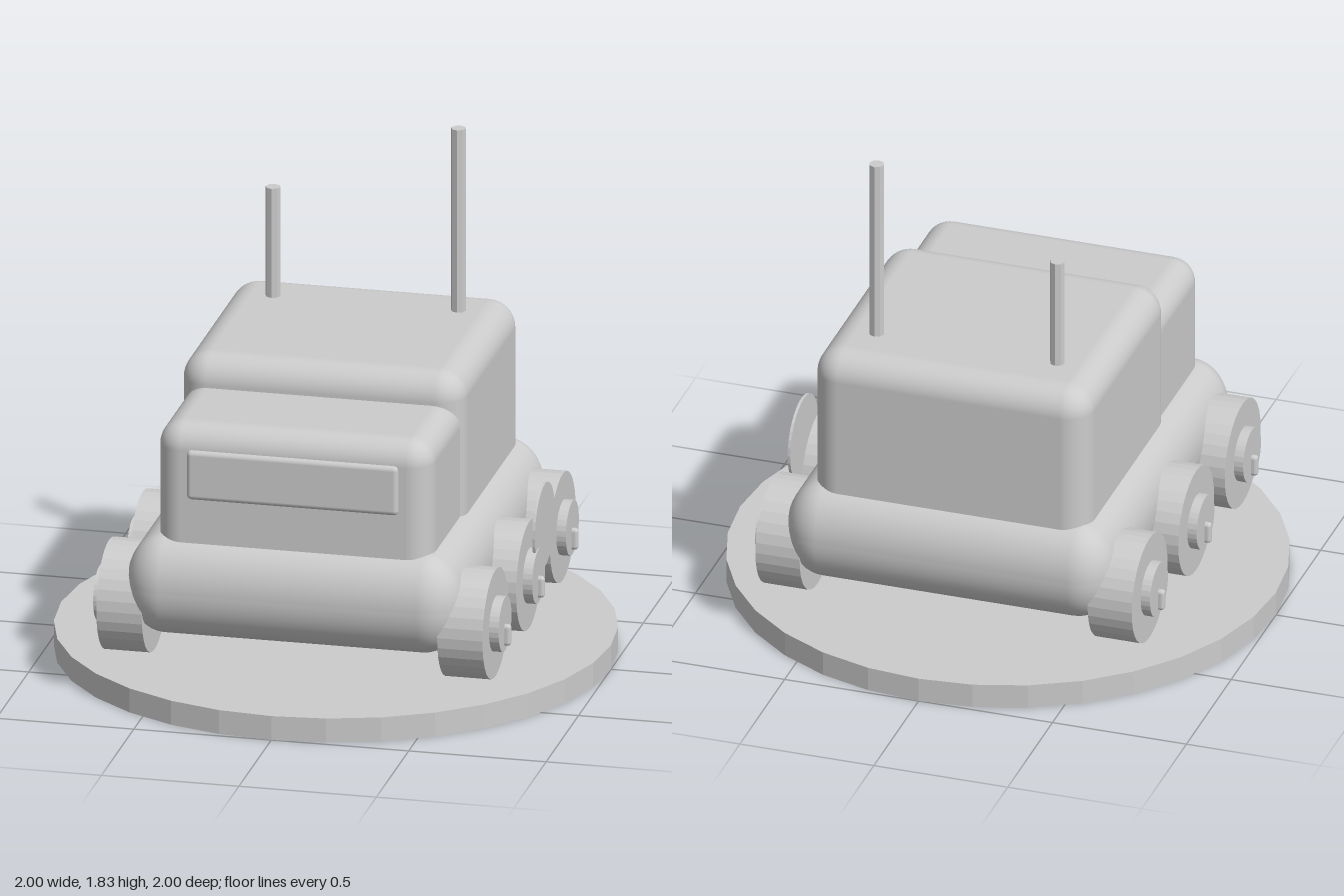
import * as THREE from 'three';
import { RoundedBoxGeometry } from 'three/addons/geometries/RoundedBoxGeometry.js';

export function createModel() {
  const model = new THREE.Group();
  model.name = 'rover';
  const grey = new THREE.MeshStandardMaterial({ color: 0xcccccc });
  grey.name = 'light grey';

  const add = (name, geometry, x, y, z, parent = model) => {
    const mesh = new THREE.Mesh(geometry, grey);
    mesh.name = name;
    mesh.position.set(x, y, z);
    parent.add(mesh);
    return mesh;
  };

  // Faceted cylinder, upright or lying along x
  const drum = (radius, length, sides, alongX = false) => {
    const g = new THREE.CylinderGeometry(radius, radius, length, sides).toNonIndexed();
    if (alongX) g.rotateZ(-Math.PI / 2);
    g.computeVertexNormals();
    return g;
  };

  // Round display stand
  add('stand', drum(1, 0.09, 32), 0, 0.045, 0);

  // Chassis: rounded box stretched in height so its sides bulge
  const stretch = 1.28;
  const chassis = new RoundedBoxGeometry(1.22, 0.37 / stretch, 1.51, 6, 0.14);
  chassis.scale(1, stretch, 1);
  add('chassis', chassis, 0, 0.425, 0);

  // Rear cabin, front cabin and windscreen
  add('rearCabin', new RoundedBoxGeometry(1.03, 0.69, 0.925, 5, 0.1), 0, 0.795, -0.21);
  add('frontCabin', new RoundedBoxGeometry(1.0, 0.58, 0.56, 5, 0.09), 0, 0.74, 0.39);
  add('windscreen', new RoundedBoxGeometry(0.77, 0.185, 0.04, 3, 0.018), 0, 0.853, 0.665);

  // Antennas
  for (const [x, top] of [[-0.335, 1.55], [0.34, 1.825]]) {
    add('antenna', drum(0.027, top - 1.1, 8), x, (top + 1.1) / 2, -0.45);
  }

  // Six wheels, each with a hub and an off-centre pin
  for (const side of [-1, 1]) {
    for (const z of [-0.52, 0, 0.52]) {
      const wheel = new THREE.Group();
      wheel.name = side > 0 ? 'leftWheel' : 'rightWheel';
      wheel.position.set(0, 0.33, z);
      add('tyre', drum(0.2, 0.165, 32, true), side * 0.62, 0, 0, wheel);
      add('hub', drum(0.1, 0.055, 32, true), side * 0.71, 0, 0, wheel);
      add('pin', new RoundedBoxGeometry(0.04, 0.08, 0.028, 3, 0.013), side * 0.74, -0.04, 0, wheel);
      model.add(wheel);
    }
  }

  // Thin disc beside the left middle wheel
  add('sideDisc', drum(0.155, 0.01, 32, true), 0.728, 0.48, -0.115);

  return model;
}
